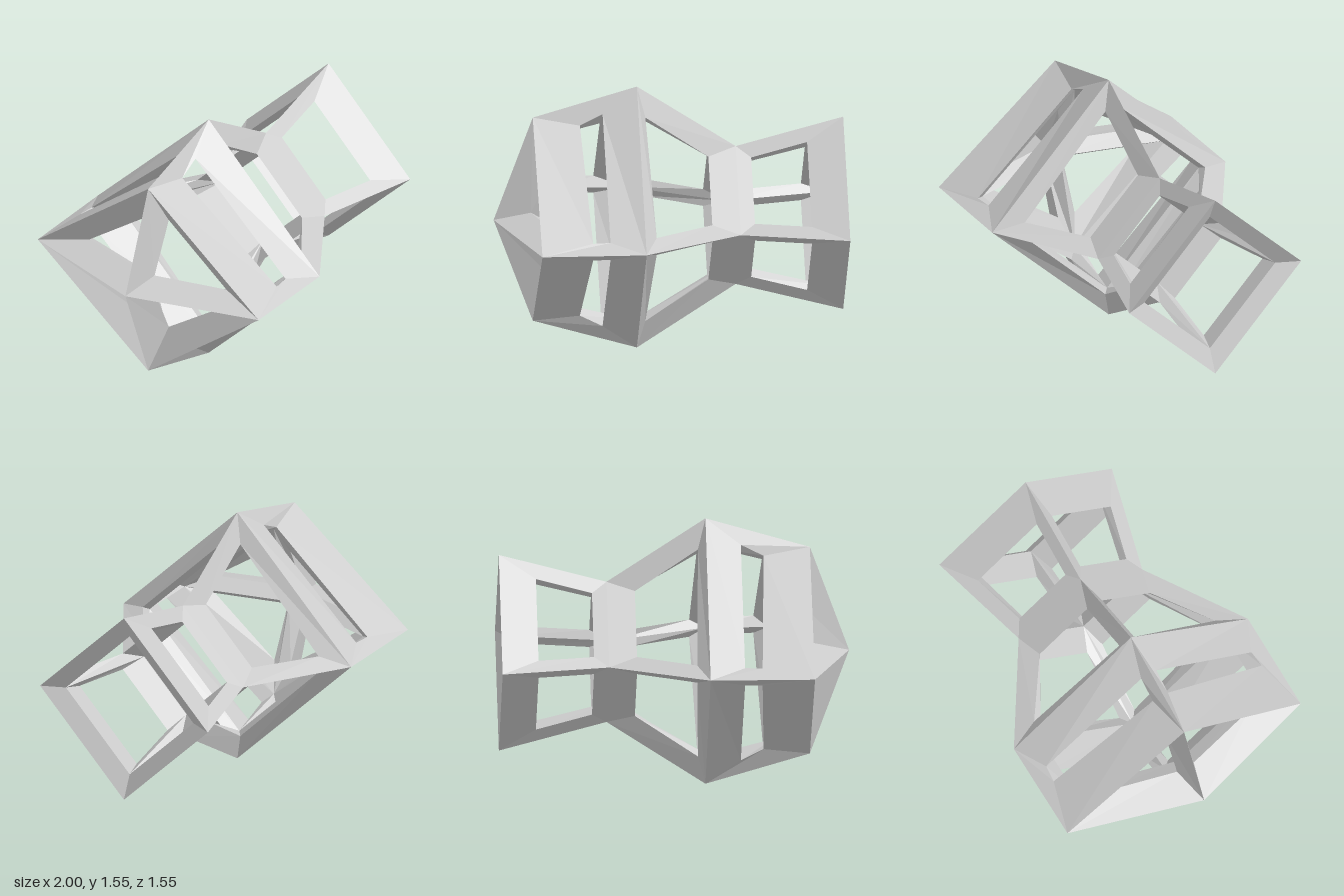
import * as THREE from 'three';

const CY = 0.776; // height of the long axis

// Stations along x: outer ridge, inner ridge; each as [x, radius] at the y and z corners
const rings = [
  { outY: [-1, 0], outZ: [-1, 0], inY: [-0.72, 0], inZ: [-0.72, 0] },
  { outY: [-0.776, 0.604], outZ: [-0.776, 0.773], inY: [-0.56, 0.52], inZ: [-0.56, 0.61] },
  { outY: [-0.18, 0.776], outZ: [-0.18, 0.776], inY: [-0.2, 0.61], inZ: [-0.2, 0.61] },
  { outY: [0.385, 0.41], outZ: [0.385, 0.41], inY: [0.35, 0.29], inZ: [0.35, 0.29] },
  { outY: [1, 0.572], outZ: [1, 0.572], inY: [0.94, 0.435], inZ: [0.94, 0.435] },
];

// Window corners of one panel per band: [x, radius] in the order aY, aZ, bZ, bY
const bands = [
  { name: 'noseFrame', w: 0.055, win: [[-0.79, 0.055], [-0.79, 0.055], [-0.68, 0.48], [-0.65, 0.355]] },
  { name: 'rearBodyFrame', w: 0.05, win: [[-0.51, 0.565], [-0.48, 0.69], [-0.38, 0.68], [-0.38, 0.63]] },
  { name: 'taperFrame', w: 0.05, win: [[-0.135, 0.605], [-0.11, 0.6], [0.225, 0.365], [0.225, 0.365]] },
  { name: 'flareFrame', w: 0.05, win: [[0.47, 0.355], [0.47, 0.355], [0.79, 0.44], [0.79, 0.44]] },
];

const onY = ([x, r], w = 0) => new THREE.Vector3(x, r, w);
const onZ = ([x, r], w = 0) => new THREE.Vector3(x, w, r);

// Adds a quad mirrored into one quadrant, keeping its front outward
function addQuad(out, quad, sy, sz) {
  const c = quad.map((p) => new THREE.Vector3(p.x, p.y * sy, p.z * sz));
  if (sy * sz < 0) c.reverse();
  for (const tri of [[c[0], c[1], c[2]], [c[0], c[2], c[3]]]) {
    if (new THREE.Triangle(...tri).getArea() < 1e-7) continue;
    for (const p of tri) out.push(p.x, p.y + CY, p.z);
  }
}

export function createModel() {
  const model = new THREE.Group();
  model.name = 'latticeBody';
  const material = new THREE.MeshStandardMaterial({ color: 0xcccccc, flatShading: true });

  bands.forEach((band, k) => {
    const a = rings[k], b = rings[k + 1];
    const outer = [onY(a.outY), onZ(a.outZ), onZ(b.outZ), onY(b.outY)];
    const inner = [onY(a.inY), onZ(a.inZ), onZ(b.inZ), onY(b.inY)];
    const win = band.win.map((p, i) => (i === 0 || i === 3 ? onY(p, band.w) : onZ(p, band.w)));
    const pos = [];
    for (const sy of [1, -1]) for (const sz of [1, -1]) {
      // Beams around the window: outer slope, then inner slope
      for (let i = 0; i < 4; i++) {
        const j = (i + 1) % 4;
        addQuad(pos, [outer[i], outer[j], win[j], win[i]], sy, sz);
        addQuad(pos, [win[i], win[j], inner[j], inner[i]], sy, sz);
      }
      // Rim of the open end
      if (k === bands.length - 1) addQuad(pos, [outer[3], outer[2], inner[2], inner[3]], sy, sz);
    }
    const geo = new THREE.BufferGeometry();
    geo.setAttribute('position', new THREE.Float32BufferAttribute(pos, 3));
    geo.computeVertexNormals();
    const mesh = new THREE.Mesh(geo, material);
    mesh.name = band.name;
    model.add(mesh);
  });
  return model;
}
